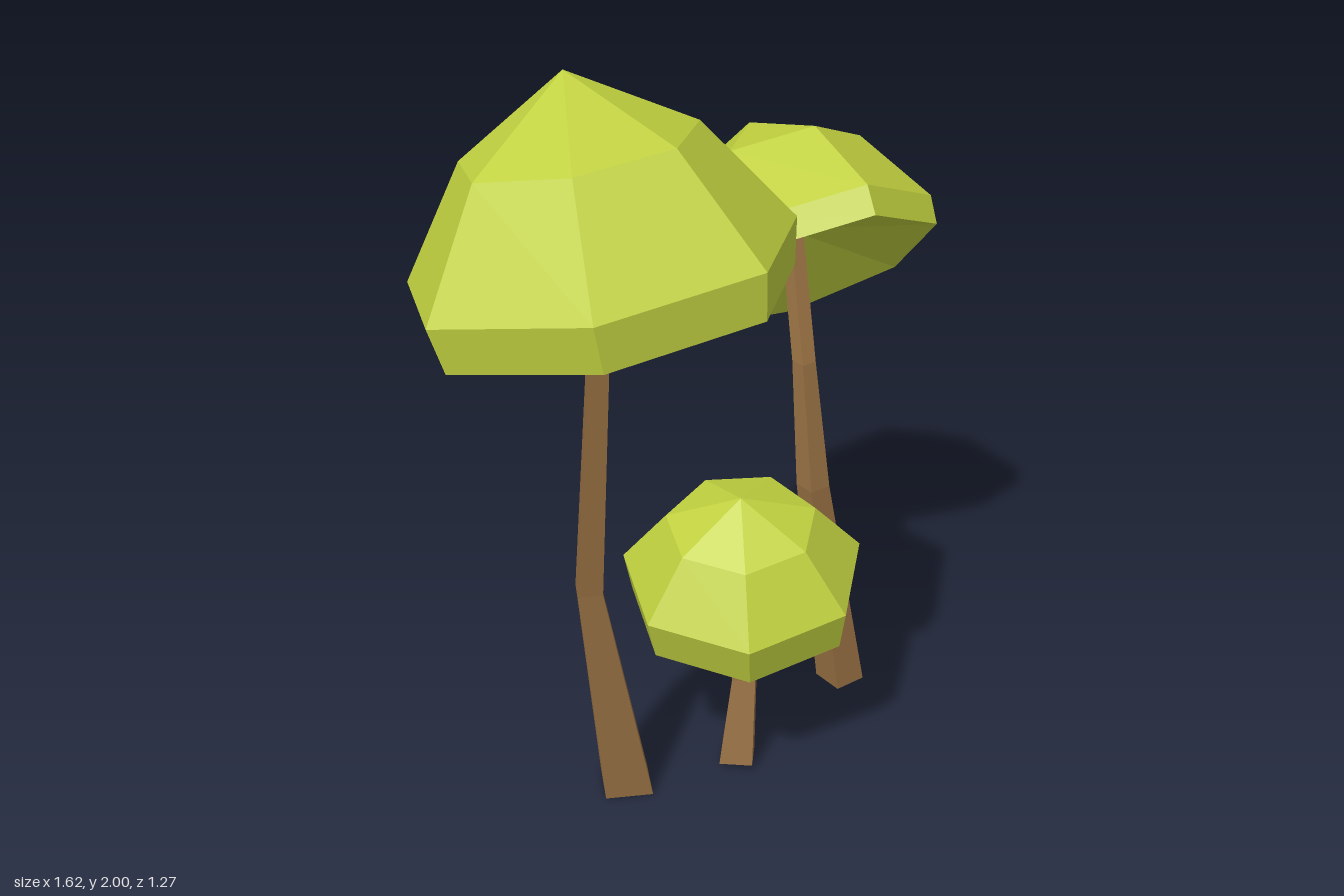
import * as THREE from 'three';

const capGreen = new THREE.MeshStandardMaterial({ color: 0xc0d03f, flatShading: true });
capGreen.name = 'cap green';
const stemBrown = new THREE.MeshStandardMaterial({ color: 0x966f42, flatShading: true });
stemBrown.name = 'stem brown';

// Each cap: rim centre, lean direction, spin, and a profile of [radius, height]
// pairs from the hollow underside, round the rim, up to the peak.
// Each stem: rows of [x, y, z, width] from the ground up.
const MUSHROOMS = [
  {
    name: 'tallMushroom',
    cap: {
      at: [-0.357, 1.572, 0.217], lean: [-0.105, 1, -0.165], spin: Math.PI,
      profile: [[0, 0.07], [0.443, -0.11], [0.465, 0], [0.28, 0.265], [0, 0.437]],
    },
    stem: {
      spin: 0.46,
      rows: [[-0.26, 0, 0.09, 0.126], [-0.368, 0.66, 0.125, 0.063], [-0.37, 1.32, 0.218, 0.049], [-0.34, 1.64, 0.215, 0.042]],
    },
  },
  {
    name: 'leaningMushroom',
    cap: {
      at: [0.44, 1.282, -0.293], lean: [0, 0.743, -0.67], spin: 0.113,
      profile: [[0, 0.05], [0.382, -0.08], [0.393, 0], [0.27, 0.225], [0, 0.37]],
    },
    stem: {
      spin: 0.95,
      rows: [[0.505, 0, -0.071, 0.096], [0.41, 0.65, -0.098, 0.064], [0.41, 1, -0.165, 0.045], [0.448, 1.34, -0.315, 0.043]],
    },
  },
  {
    name: 'smallMushroom',
    cap: {
      at: [0.092, 0.572, 0.083], lean: [-0.12, 1, 0.15], spin: Math.PI,
      profile: [[0, 0.04], [0.305, -0.118], [0.323, 0], [0.2, 0.155], [0, 0.238]],
    },
    stem: {
      spin: 0.21,
      rows: [[0.05, 0.015, 0.14, 0.089], [0.08, 0.26, 0.122, 0.062], [0.085, 0.59, 0.11, 0.056]],
    },
  },
];

function faceted(geometry) {
  const flat = geometry.toNonIndexed();
  flat.computeVertexNormals();
  return flat;
}

// Seven-sided cap, turned from its profile and then leaned over
function makeCap({ at, lean, spin, profile }) {
  const points = profile.map(([r, y]) => new THREE.Vector2(r, y));
  const cap = new THREE.Mesh(faceted(new THREE.LatheGeometry(points, 7, spin)), capGreen);
  cap.name = 'cap';
  cap.position.set(...at);
  cap.quaternion.setFromUnitVectors(new THREE.Vector3(0, 1, 0), new THREE.Vector3(...lean).normalize());
  return cap;
}

// Four-sided bent stem: each row of a cylinder is moved and scaled
function makeStem({ spin, rows }) {
  const last = rows.length - 1;
  const geometry = new THREE.CylinderGeometry(1, 1, 1, 4, last, false, spin);
  const pos = geometry.attributes.position;
  for (let i = 0; i < pos.count; i++) {
    const [x, y, z, width] = rows[Math.round((pos.getY(i) + 0.5) * last)];
    const r = width * Math.SQRT1_2;
    pos.setXYZ(i, x + pos.getX(i) * r, y, z + pos.getZ(i) * r);
  }
  const stem = new THREE.Mesh(faceted(geometry), stemBrown);
  stem.name = 'stem';
  return stem;
}

export function createModel() {
  const model = new THREE.Group();
  model.name = 'mushrooms';
  for (const { name, cap, stem } of MUSHROOMS) {
    const mushroom = new THREE.Group();
    mushroom.name = name;
    mushroom.add(makeStem(stem), makeCap(cap));
    model.add(mushroom);
  }
  return model;
}
